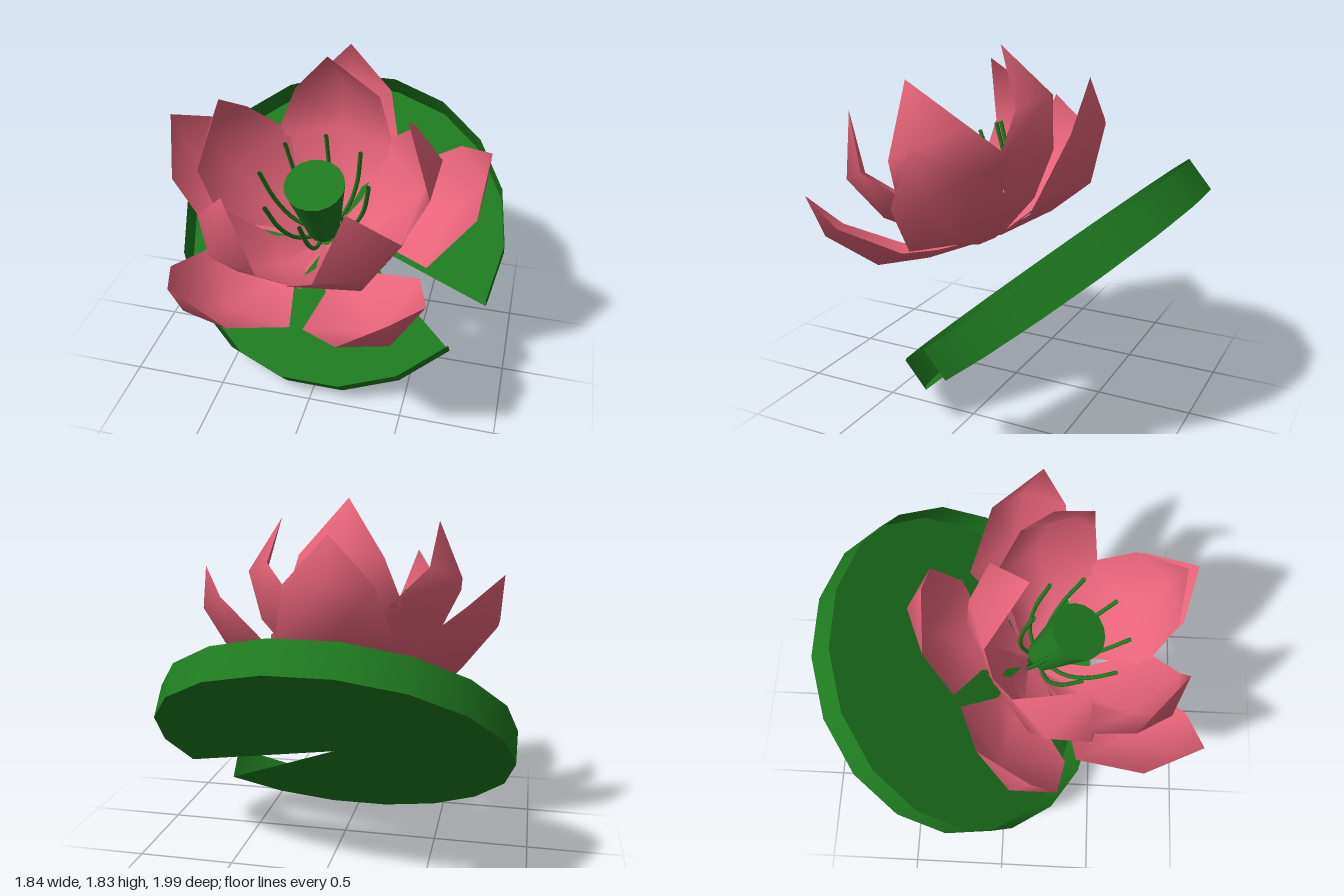
import * as THREE from 'three';

const rad = THREE.MathUtils.degToRad;
const green = new THREE.MeshStandardMaterial({ color: 0x1f7a20, side: THREE.DoubleSide });
const pink = new THREE.MeshStandardMaterial({ color: 0xe8647a, side: THREE.DoubleSide });

function add(parent, name, geometry, material) {
  const mesh = new THREE.Mesh(geometry, material);
  mesh.name = name;
  parent.add(mesh);
  return mesh;
}

// Cupped petal: each row is [spineOut, spineUp, edgeOut, edgeUp, halfWidth]
function petalGeometry(rows) {
  const positions = [], index = [];
  rows.forEach(([so, su, eo, eu, w], i) => {
    positions.push(-w, eu, eo, 0, su, so, w, eu, eo);
    if (i === 0) return;
    for (let c = 0; c < 2; c++) {
      const a = (i - 1) * 3 + c, b = a + 3;
      index.push(a, a + 1, b + 1);
      if (i < rows.length - 1) index.push(a, b + 1, b);
      else index.splice(-3, 3, a, a + 1, i * 3); // rows close in one tip
    }
  });
  const g = new THREE.BufferGeometry();
  g.setAttribute('position', new THREE.Float32BufferAttribute(positions, 3));
  g.setIndex(index);
  g.computeVertexNormals();
  return g;
}

const innerRows = [
  [0.03, 0.00, 0.02, 0.01, 0.03],
  [0.31, 0.13, 0.22, 0.16, 0.13],
  [0.52, 0.33, 0.37, 0.38, 0.315],
  [0.62, 0.594, 0.527, 0.593, 0.22],
  [0.467, 0.925, 0.467, 0.925, 0],
];
const outerRows = [
  [0.03, 0.00, 0.02, 0.01, 0.03],
  [0.38, 0.037, 0.32, 0.07, 0.13],
  [0.646, 0.107, 0.49, 0.14, 0.315],
  [0.841, 0.358, 0.75, 0.378, 0.225],
  [0.855, 0.597, 0.855, 0.597, 0],
];

export function createModel() {
  const model = new THREE.Group();
  model.name = 'waterLily';

  // Tilted lily pad: an open dish with one wedge missing
  const pad = new THREE.Group();
  pad.name = 'lilyPad';
  pad.position.set(0, 0.585, -0.3);
  pad.rotation.x = rad(40);
  model.add(pad);
  const rim = new THREE.CylinderGeometry(0.92, 0.92, 0.178, 17, 1, true, rad(70), rad(340));
  add(pad, 'padRim', rim.translate(0, 0.089, 0), green);
  const floor = new THREE.CircleGeometry(0.92, 17, rad(-20), rad(340));
  add(pad, 'padFloor', floor.rotateX(-Math.PI / 2), green);

  // Flower leaning forward
  const flower = new THREE.Group();
  flower.name = 'flower';
  flower.position.set(0, 0.8, 0.12);
  flower.rotation.x = rad(25);
  model.add(flower);

  // Two rings of five petals, the outer one more open
  for (const [name, rows] of [['innerPetal', innerRows], ['outerPetal', outerRows]]) {
    const geometry = petalGeometry(rows);
    for (let i = 0; i < 5; i++) {
      add(flower, name, geometry, pink).rotation.y = Math.PI + rad(72 * i);
    }
  }

  // Seed head
  const head = new THREE.CylinderGeometry(0.15, 0.085, 0.4, 18);
  add(flower, 'seedHead', head.translate(0, 0.33, 0), green);

  // Ring of curved stamens
  const curve = new THREE.CatmullRomCurve3([
    new THREE.Vector3(0, 0.1, 0.05),
    new THREE.Vector3(0, 0.18, 0.15),
    new THREE.Vector3(0, 0.34, 0.225),
    new THREE.Vector3(0, 0.57, 0.27),
  ]);
  const stamen = new THREE.TubeGeometry(curve, 10, 0.011, 8);
  for (let i = 0; i < 8; i++) add(flower, 'stamen', stamen, green).rotation.y = rad(45 * i);

  return model;
}
